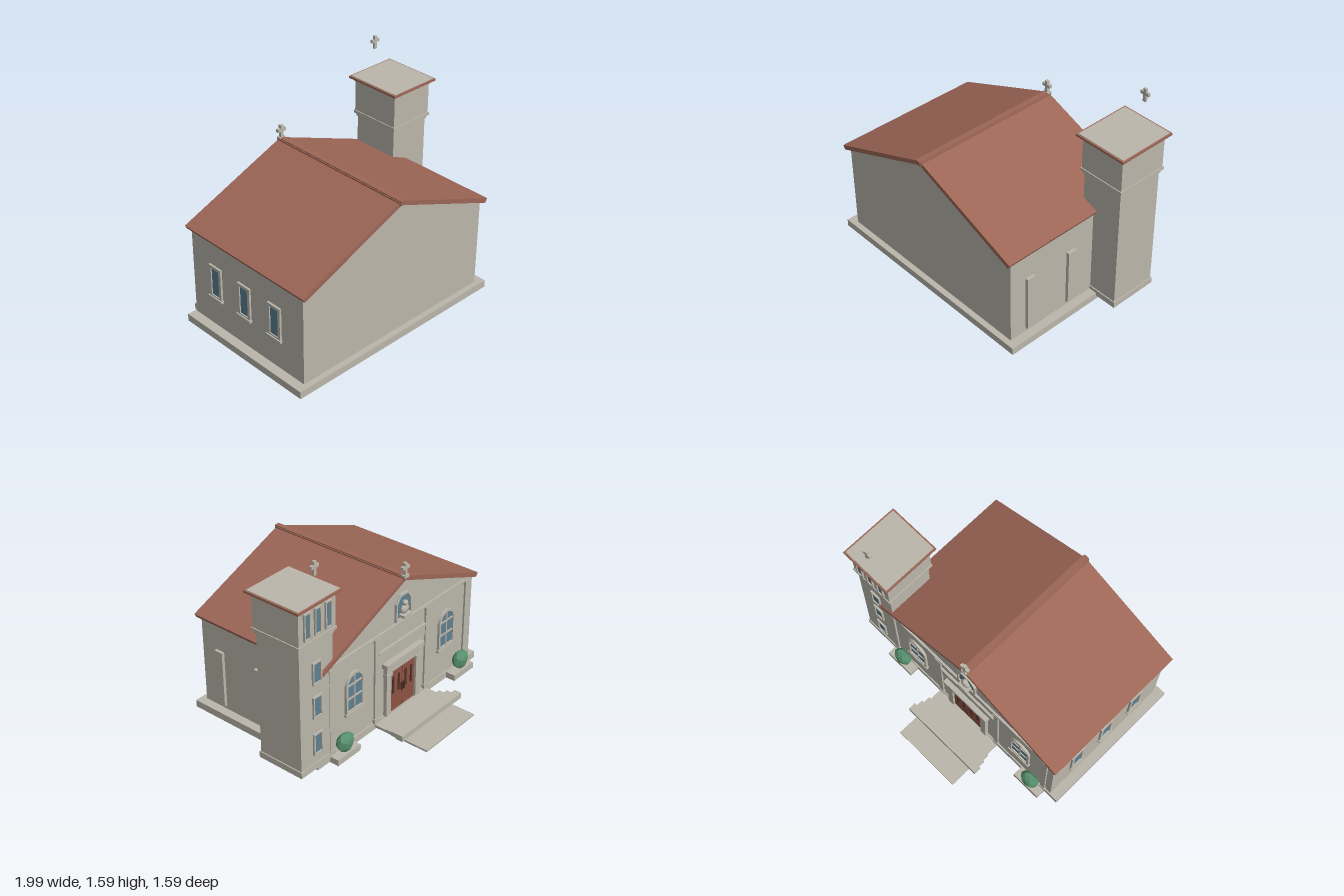
import * as THREE from 'three';

const mat = (name, color) => {
  const m = new THREE.MeshStandardMaterial({ color });
  m.name = name;
  return m;
};

export function createModel() {
  const stone = mat('stone', 0xbab6aa);
  const tile = mat('roof tile', 0x9c6656);
  const glass = mat('window glass', 0x5c7f93);
  const wood = mat('door wood', 0x8e5343);
  const darkWood = mat('dark wood', 0x553229);
  const leaf = mat('leaf', 0x56906d);

  const model = new THREE.Group();
  model.name = 'church';
  const CX = -0.107; // centre line of the nave
  const TX = 0.787; // centre line of the tower

  const group = (name, parent = model) => {
    const g = new THREE.Group();
    g.name = name;
    parent.add(g);
    return g;
  };
  const add = (name, geo, material, parent) => {
    const m = new THREE.Mesh(geo, material);
    m.name = name;
    parent.add(m);
    return m;
  };
  // box from its limits on each axis
  const box = (name, material, [x0, x1], [y0, y1], [z0, z1], parent = model) => {
    const m = add(name, new THREE.BoxGeometry(x1 - x0, y1 - y0, z1 - z0), material, parent);
    m.position.set((x0 + x1) / 2, (y0 + y1) / 2, (z0 + z1) / 2);
    return m;
  };
  const around = (c, half) => [c - half, c + half];
  const poly = pts => new THREE.Shape(pts.map(p => new THREE.Vector2(...p)));
  // outline in x,y extruded between two z values
  const slab = (name, material, shape, z0, z1, parent = model) => {
    const geo = new THREE.ExtrudeGeometry(shape, { depth: z1 - z0, bevelEnabled: false, curveSegments: 8 });
    const m = add(name, geo, material, parent);
    m.position.z = z0;
    return m;
  };
  // rectangular window facing -z, with four frame bars
  const frameWindow = (name, w, h, bar, parent) => {
    const g = group(name, parent);
    box('glass', glass, around(0, w / 2), around(0, h / 2), [-0.006, 0], g);
    for (const s of [-1, 1]) {
      box('frameSide', stone, around(s * (w / 2), bar / 2), around(0, h / 2 + bar / 2), [-0.015, 0], g);
      box('frameBar', stone, around(0, w / 2), around(s * h / 2, bar / 2), [-0.015, 0], g);
    }
    return g;
  };

  // base and nave walls with gables
  box('base', stone, [-1, 0.785], [0, 0.055], [-0.36, 0.785]);
  slab('naveWalls', stone, poly([
    [-0.93, 0.05], [0.72, 0.05], [0.72, 0.735], [CX, 1.072], [-0.93, 0.735],
  ]), -0.35, 0.742);

  // roof: two slopes as one chevron, plus a ridge cap
  slab('roof', tile, poly([
    [-0.965, 0.755], [-0.948, 0.725], [CX, 1.065], [0.734, 0.725], [0.751, 0.755], [CX, 1.098],
  ]), -0.375, 0.778);
  box('ridgeCap', tile, around(CX, 0.02), [1.07, 1.104], [-0.378, 0.79]);
  for (const s of [-1, 1])
    box('ridgeEdge', tile, around(CX + s * 0.024, 0.004), [1.07, 1.097], [-0.376, 0.782]);

  // crosses
  const cross = (name, x, y, z, h, d) => {
    const g = group(name);
    g.position.set(x, y, z);
    box('crossPost', stone, around(0, 0.0115), [0, h], around(0, d), g);
    box('crossArms', stone, around(0, 0.035), [h * 0.5, h * 0.74], around(0, d), g);
  };
  cross('ridgeCross', CX, 1.1, -0.367, 0.097, 0.012);
  cross('towerCross', TX, 1.487, -0.358, 0.098, 0.009);
  box('crossFoot', stone, around(CX, 0.024), [1.085, 1.108], [-0.385, -0.352]);

  // cornice and raking trim of the facade
  box('cornice', stone, [-0.925, 0.64], [0.733, 0.752], [-0.366, -0.345]);
  for (const s of [-1, 1])
    slab('rakingTrim', stone, poly([
      [CX, 1.066], [CX + s * 0.825, 0.733], [CX + s * 0.765, 0.733], [CX, 1.038],
    ]), -0.362, -0.345);

  // facade pilasters
  for (const off of [-0.75, -0.28, 0.28, 0.75]) {
    const g = group('pilaster');
    g.position.x = CX + off;
    box('shaft', stone, around(0, 0.02), [0.05, 0.71], [-0.364, -0.345], g);
    box('foot', stone, around(0, 0.027), [0.05, 0.085], [-0.369, -0.345], g);
    box('capital', stone, around(0, 0.028), [0.705, 0.733], [-0.37, -0.345], g);
  }

  // arched windows
  const arch = (r, y0, ySpring) => {
    const s = new THREE.Shape();
    s.moveTo(-r, y0);
    s.lineTo(r, y0);
    s.lineTo(r, ySpring);
    s.absarc(0, ySpring, r, 0, Math.PI, false);
    s.closePath();
    return s;
  };
  for (const s of [-1, 1]) {
    const g = group('archedWindow');
    g.position.x = CX + s * 0.513;
    slab('glass', glass, arch(0.08, 0.295, 0.505), -0.356, -0.349, g);
    const frame = arch(0.092, 0.288, 0.505);
    frame.holes.push(arch(0.074, 0.305, 0.505));
    slab('frame', stone, frame, -0.368, -0.345, g);
    box('mullion', stone, around(0, 0.006), [0.3, 0.58], [-0.363, -0.35], g);
    for (const y of [0.4, 0.505])
      box('transom', stone, around(0, 0.076), around(y, 0.006), [-0.363, -0.35], g);
    box('sill', stone, around(0, 0.1), [0.275, 0.293], [-0.374, -0.345], g);
  }

  // entrance: double door, side posts, stepped lintel and panel above
  const entrance = group('entrance');
  for (const s of [-1, 1]) {
    box('doorLeaf', wood, around(CX + s * 0.071, 0.069), [0.055, 0.39], [-0.362, -0.345], entrance);
    for (const k of [0.038, 0.1])
      box('doorPanel', darkWood, around(CX + s * k, 0.01), [0.2, 0.34], [-0.367, -0.36], entrance);
    box('doorHandle', darkWood, around(CX + s * 0.012, 0.004), [0.19, 0.25], [-0.378, -0.36], entrance);
    box('doorPost', stone, around(CX + s * 0.165, 0.025), [0.055, 0.4], [-0.378, -0.345], entrance);
    box('postCapital', stone, around(CX + s * 0.165, 0.031), [0.375, 0.4], [-0.384, -0.345], entrance);
  }
  box('doorGap', darkWood, around(CX, 0.003), [0.055, 0.39], [-0.361, -0.345], entrance);
  box('lintel', stone, around(CX, 0.193), [0.4, 0.455], [-0.378, -0.345], entrance);
  box('lintelCap', stone, around(CX, 0.21), [0.455, 0.49], [-0.395, -0.345], entrance);
  box('panel', stone, around(CX, 0.255), [0.5, 0.585], [-0.36, -0.345], entrance);
  box('panelLedge', stone, around(CX, 0.258), [0.585, 0.605], [-0.368, -0.345], entrance);

  // gable niche with a small bust
  const niche = group('niche');
  niche.position.set(CX, 0.865, 0);
  const nichePts = k => [
    [-0.085, -0.1], [0.085, -0.1], [0.085, 0.04], [0.045, 0.1], [-0.045, 0.1], [-0.085, 0.04],
  ].map(([x, y]) => [x * k, y * k]);
  slab('nicheGlass', glass, poly(nichePts(0.95)), -0.357, -0.349, niche);
  const nicheFrame = poly(nichePts(1));
  nicheFrame.holes.push(poly(nichePts(0.84)));
  slab('nicheFrame', stone, nicheFrame, -0.37, -0.345, niche);
  box('bustStand', stone, around(0, 0.045), [-0.07, -0.052], [-0.405, -0.35], niche);
  const shoulders = add('shoulders', new THREE.SphereGeometry(0.04, 12, 8), stone, niche);
  shoulders.scale.set(1, 0.9, 0.5);
  shoulders.position.set(0, -0.02, -0.372);
  add('head', new THREE.SphereGeometry(0.021, 12, 8), stone, niche).position.set(0, 0.028, -0.375);

  // side windows on one wall, buttress strips on the other
  for (const z of [-0.11, 0.18, 0.475]) {
    const w = frameWindow('sideWindow', 0.1, 0.235, 0.022, model);
    w.rotation.y = Math.PI / 2;
    w.position.set(-0.93, 0.412, z);
    box('sill', stone, around(0, 0.068), [-0.135, -0.117], [-0.024, 0], w);
  }
  for (const z of [0.575, 0.205])
    box('buttress', stone, [0.71, 0.743], [0.088, 0.525], around(z, 0.036));

  // tower, built as stacked blocks around its centre
  const tower = group('tower');
  const TZ = -0.18;
  const tier = (name, material, half, y0, y1) =>
    box(name, material, around(TX, half), [y0, y1], around(TZ, half + 0.02), tower);
  tier('towerFoot', stone, 0.168, 0.033, 0.08);
  tier('towerShaft', stone, 0.16, 0.075, 1.005);
  tier('lowerTrim', stone, 0.168, 1.005, 1.03);
  tier('upperTrim', stone, 0.181, 1.03, 1.052);
  tier('belfry', stone, 0.174, 1.05, 1.29);
  tier('topTrim', stone, 0.183, 1.285, 1.306);
  tier('towerRoof', tile, 0.207, 1.306, 1.321);
  tier('roofPlate', stone, 0.195, 1.318, 1.325);
  for (const y of [0.235, 0.525, 0.785])
    frameWindow('towerWindow', 0.075, 0.155, 0.012, tower).position.set(TX, y, -0.359);
  for (const off of [-0.1, 0, 0.1])
    frameWindow('belfryWindow', 0.05, 0.185, 0.01, tower).position.set(TX + off, 1.175, -0.373);

  // entrance steps and paving slab
  const steps = [
    [0.295, 0.018, 0.038, -0.465, -0.355], [0.308, 0.03, 0.055, -0.522, -0.465],
    [0.322, 0.038, 0.072, -0.578, -0.522], [0.34, 0.047, 0.09, -0.635, -0.578],
  ];
  for (const [half, y0, y1, z0, z1] of steps)
    box('step', stone, around(CX, half), [y0, y1], [z0, z1]);
  box('pavingSlab', stone, around(CX, 0.275), [0, 0.014], [-0.795, -0.52]);

  // planters with faceted bushes
  for (const s of [-1, 1]) {
    const x = CX + s * 0.656;
    box('planter', stone, around(x, 0.117), [0, 0.047], [-0.435, -0.35]);
    const geo = new THREE.IcosahedronGeometry(1, 1).toNonIndexed();
    const p = geo.attributes.position;
    for (let i = 0; i < p.count; i++) {
      const [a, b, c] = [p.getX(i), p.getY(i), p.getZ(i)];
      const k = 1 + 0.07 * Math.sin(7 * a + 5 * b + 3 * c);
      p.setXYZ(i, a * k * 0.075, b * k * 0.072, c * k * 0.048);
    }
    geo.computeVertexNormals();
    add('bush', geo, leaf, model).position.set(x, 0.117, -0.398);
  }

  return model;
}
